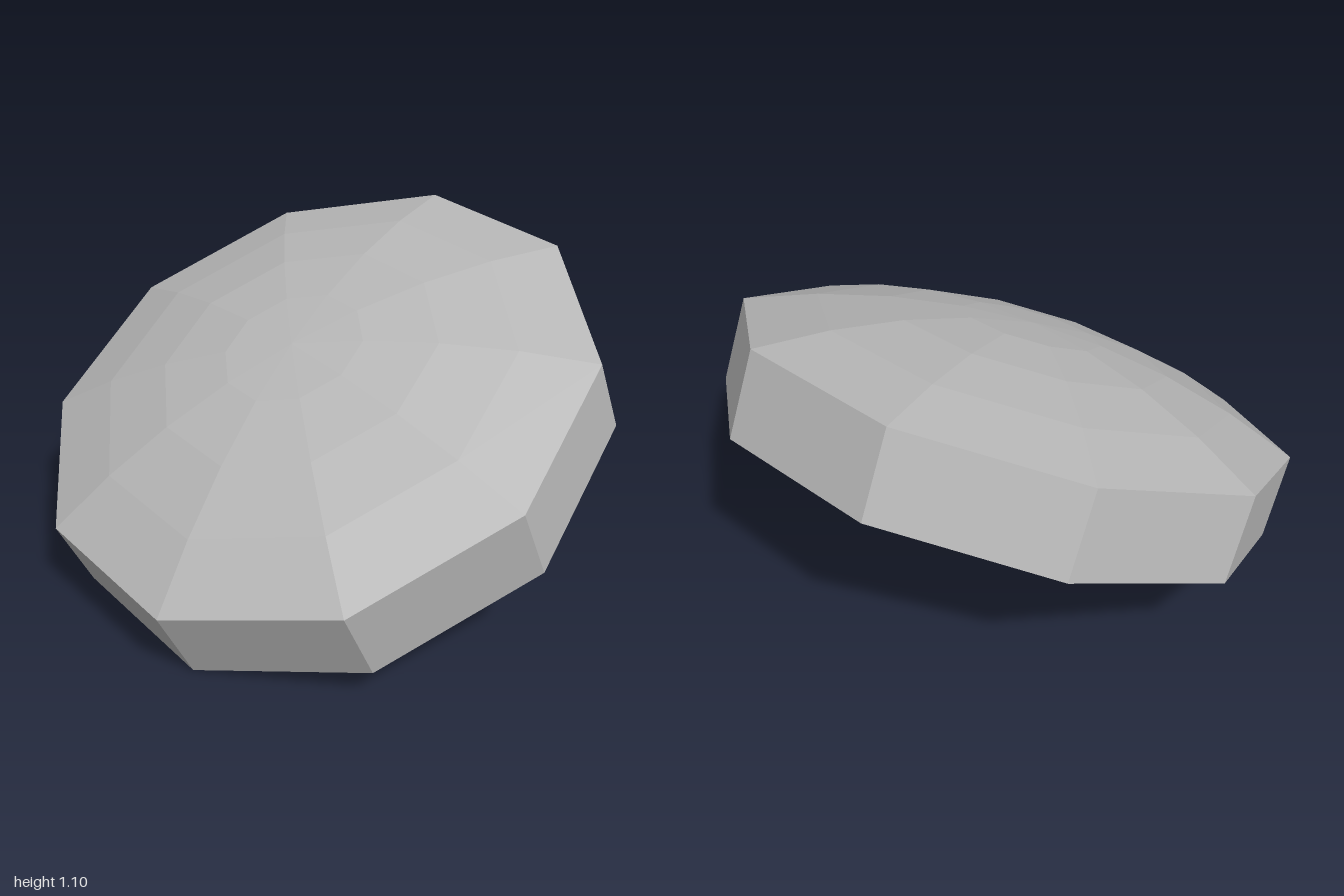
import * as THREE from 'three';

const SIDES = 10, RADIUS = 0.995, RIM = 0.3, DOME = 0.205, RINGS = 4;

// One normal per face for crisp facets
function faceted(geometry) {
  const g = geometry.toNonIndexed();
  g.computeVertexNormals();
  return g;
}

export function createModel() {
  const stone = new THREE.MeshStandardMaterial({ color: 0xb8b8b8 });
  stone.name = 'lightGrey';

  const group = new THREE.Group();
  group.name = 'domedDisc';
  const tilted = new THREE.Group();
  tilted.name = 'tiltedDisc';
  group.add(tilted);

  // Ten-sided rim with a flat underside
  const rimProfile = [[0, 0], [RADIUS, 0], [RADIUS, RIM]].map(p => new THREE.Vector2(...p));
  const rim = new THREE.Mesh(faceted(new THREE.LatheGeometry(rimProfile, SIDES)), stone);
  rim.name = 'rim';

  // Shallow faceted dome, rising in even rings to the apex
  const domeProfile = [];
  for (let i = RINGS; i >= 0; i--) {
    const t = i / RINGS;
    domeProfile.push(new THREE.Vector2(RADIUS * t, RIM + DOME * (1 - t * t)));
  }
  const dome = new THREE.Mesh(faceted(new THREE.LatheGeometry(domeProfile, SIDES)), stone);
  dome.name = 'dome';
  tilted.add(rim, dome);

  // Lean the disc: one side rests on the ground, the +x side is raised
  const up = new THREE.Vector3(-0.425, 0.904, 0.033).normalize();
  const side = new THREE.Vector3(0.905, 0.425, 0.012);
  side.addScaledVector(up, -side.dot(up)).normalize();
  const front = new THREE.Vector3().crossVectors(side, up);
  tilted.quaternion.setFromRotationMatrix(new THREE.Matrix4().makeBasis(side, up, front));
  tilted.position.set(0.0635, 0.42, -0.005);
  return group;
}
